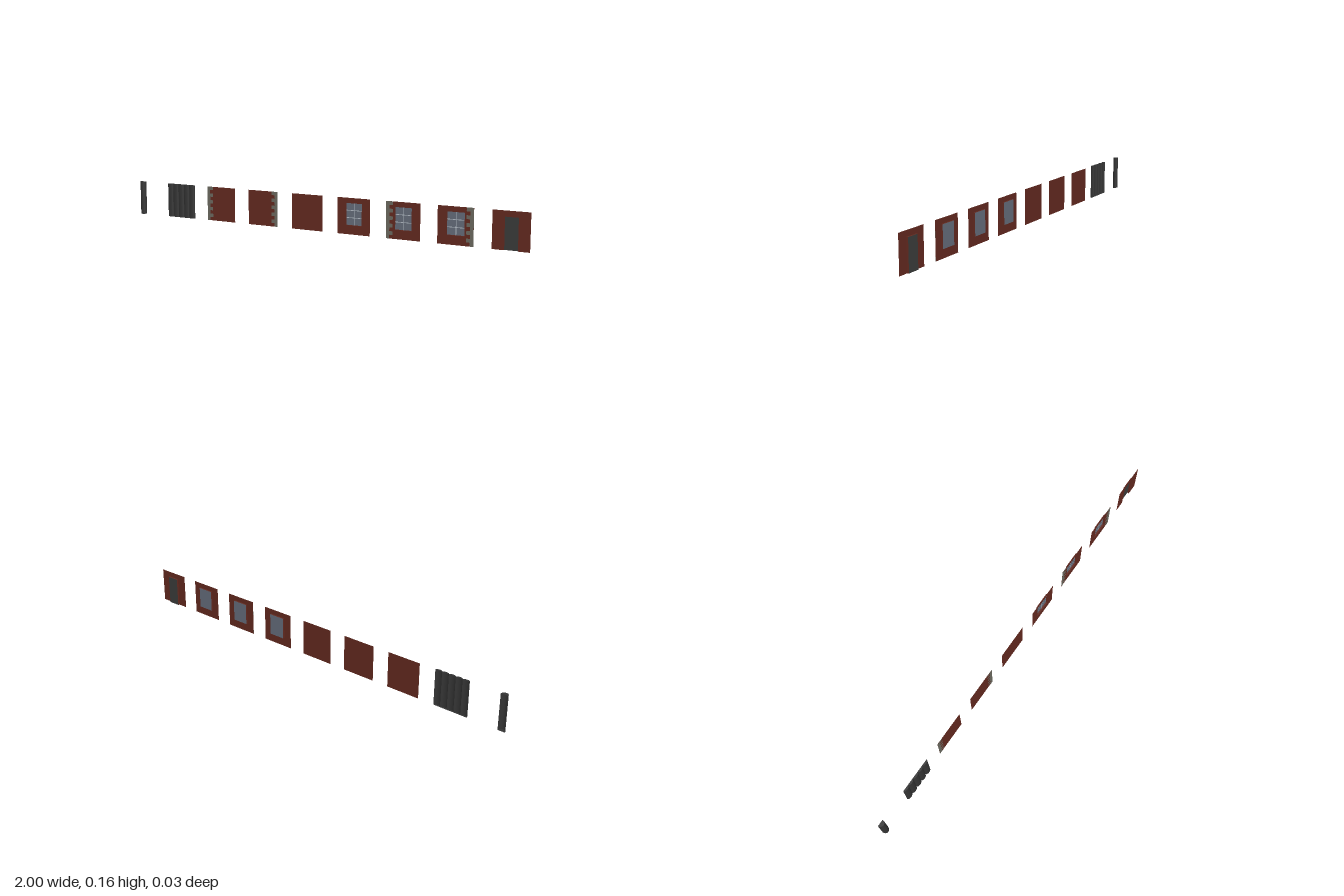
import * as THREE from 'three';

const H = 0.16, W = 0.16, WALL_Z = -0.005, BACK_Z = -0.0125, STEP = 0.238;

const mat = (color) => new THREE.MeshStandardMaterial({ color, side: THREE.DoubleSide });

export function createModel() {
  const root = new THREE.Group();
  const brick = mat(0x63291f), stone = mat(0x6c6a60), dark = mat(0x343434);
  const glass = mat(0x646c7a), bar = mat(0xb4bcc6), doorMat = mat(0x3a3b3a);

  function add(parent, name, geometry, material, x = 0, y = 0, z = 0) {
    const mesh = new THREE.Mesh(geometry, material);
    mesh.name = name;
    mesh.position.set(x, y, z);
    parent.add(mesh);
    return mesh;
  }

  function group(name, x) {
    const g = new THREE.Group();
    g.name = name;
    g.position.x = x;
    root.add(g);
    return g;
  }

  // Half-round column, open at the back, capped top and bottom
  function halfColumn(parent, x, r, depth) {
    const shell = new THREE.CylinderGeometry(r, r, H, 10, 1, true, -Math.PI / 2, Math.PI);
    const cap = new THREE.CircleGeometry(r, 10, 0, Math.PI);
    const g = new THREE.Group();
    g.name = 'halfColumn';
    g.position.set(x, 0, WALL_Z);
    g.scale.z = depth / r;
    add(g, 'columnShell', shell, dark, 0, H / 2, 0);
    for (const y of [0, H]) add(g, 'columnCap', cap, dark, 0, y, 0).rotation.x = Math.PI / 2;
    parent.add(g);
  }

  // Recess sides behind an opening running from y0 to y1
  function reveal(parent, w, y0, y1, hasSill) {
    const d = WALL_Z - BACK_Z, z = (WALL_Z + BACK_Z) / 2, h = y1 - y0;
    for (const s of [-1, 1])
      add(parent, 'revealSide', new THREE.PlaneGeometry(d, h), brick, s * w / 2, (y0 + y1) / 2, z).rotation.y = -s * Math.PI / 2;
    for (const y of hasSill ? [y0, y1] : [y1])
      add(parent, 'revealEdge', new THREE.PlaneGeometry(w, d), brick, 0, y, z).rotation.x = y === y1 ? -Math.PI / 2 : Math.PI / 2;
  }

  // Toothed corner stones on one side of a panel
  function quoins(parent, side) {
    const narrow = 0.016, wide = 0.032, n = 5, t = H / (2 * n);
    const s = new THREE.Shape();
    s.moveTo(0, 0);
    for (let i = 0; i < 2 * n; i++) {
      const w = -side * (i % 2 ? wide : narrow);
      s.lineTo(w, i * t);
      s.lineTo(w, (i + 1) * t);
    }
    s.lineTo(0, H);
    add(parent, 'cornerStones', new THREE.ShapeGeometry(s), stone, side * W / 2, 0, WALL_Z + 0.0006);
  }

  // Wall panel with an optional window or door opening
  function wall(name, x, opening, stoneSide) {
    const g = group(name, x);
    const s = new THREE.Shape();
    const rect = (p, w, y0, y1) => {
      p.moveTo(-w / 2, y0);
      p.lineTo(w / 2, y0);
      p.lineTo(w / 2, y1);
      p.lineTo(-w / 2, y1);
      p.closePath();
      return p;
    };
    if (opening === 'door') {
      const w = 0.06, top = 0.135;
      [[-W / 2, 0], [-w / 2, 0], [-w / 2, top], [w / 2, top], [w / 2, 0], [W / 2, 0], [W / 2, H], [-W / 2, H]]
        .forEach(([px, py], i) => (i ? s.lineTo(px, py) : s.moveTo(px, py)));
      reveal(g, w, 0, top, false);
      add(g, 'door', new THREE.PlaneGeometry(w, top), doorMat, 0, top / 2, BACK_Z);
    } else {
      rect(s, W, 0, H);
    }
    if (opening === 'window') {
      const w = 0.08, y0 = 0.04, y1 = 0.137, h = y1 - y0, mid = (y0 + y1) / 2;
      s.holes.push(rect(new THREE.Path(), w, y0, y1));
      reveal(g, w, y0, y1, true);
      add(g, 'windowPane', new THREE.PlaneGeometry(w, h), glass, 0, mid, BACK_Z);
      // Glazing bars
      add(g, 'verticalBar', new THREE.PlaneGeometry(0.003, h), bar, 0, mid, BACK_Z + 0.001);
      for (const k of [1, 2])
        add(g, 'horizontalBar', new THREE.PlaneGeometry(w, 0.003), bar, 0, y0 + k * h / 3, BACK_Z + 0.001);
    }
    add(g, 'wallPanel', new THREE.ShapeGeometry(s), brick, 0, 0, WALL_Z);
    if (stoneSide) quoins(g, stoneSide);
  }

  // Single pillar and the row of five ribs
  halfColumn(group('pillar', -0.984), 0, 0.016, 0.0175);
  const ribs = group('ribbedPanel', -0.984 + STEP);
  for (let i = -2; i <= 2; i++) halfColumn(ribs, i * 0.0325, 0.01625, 0.0095);

  // Wall modules, left to right along x
  const modules = [
    ['cornerWallRight', null, -1],
    ['cornerWallLeft', null, 1],
    ['plainWall', null, 0],
    ['windowWall', 'window', 0],
    ['windowCornerWallRight', 'window', -1],
    ['windowCornerWallLeft', 'window', 1],
    ['doorWall', 'door', 0],
  ];
  modules.forEach(([name, opening, side], i) => wall(name, -0.508 + i * STEP, opening, side));
  return root;
}
